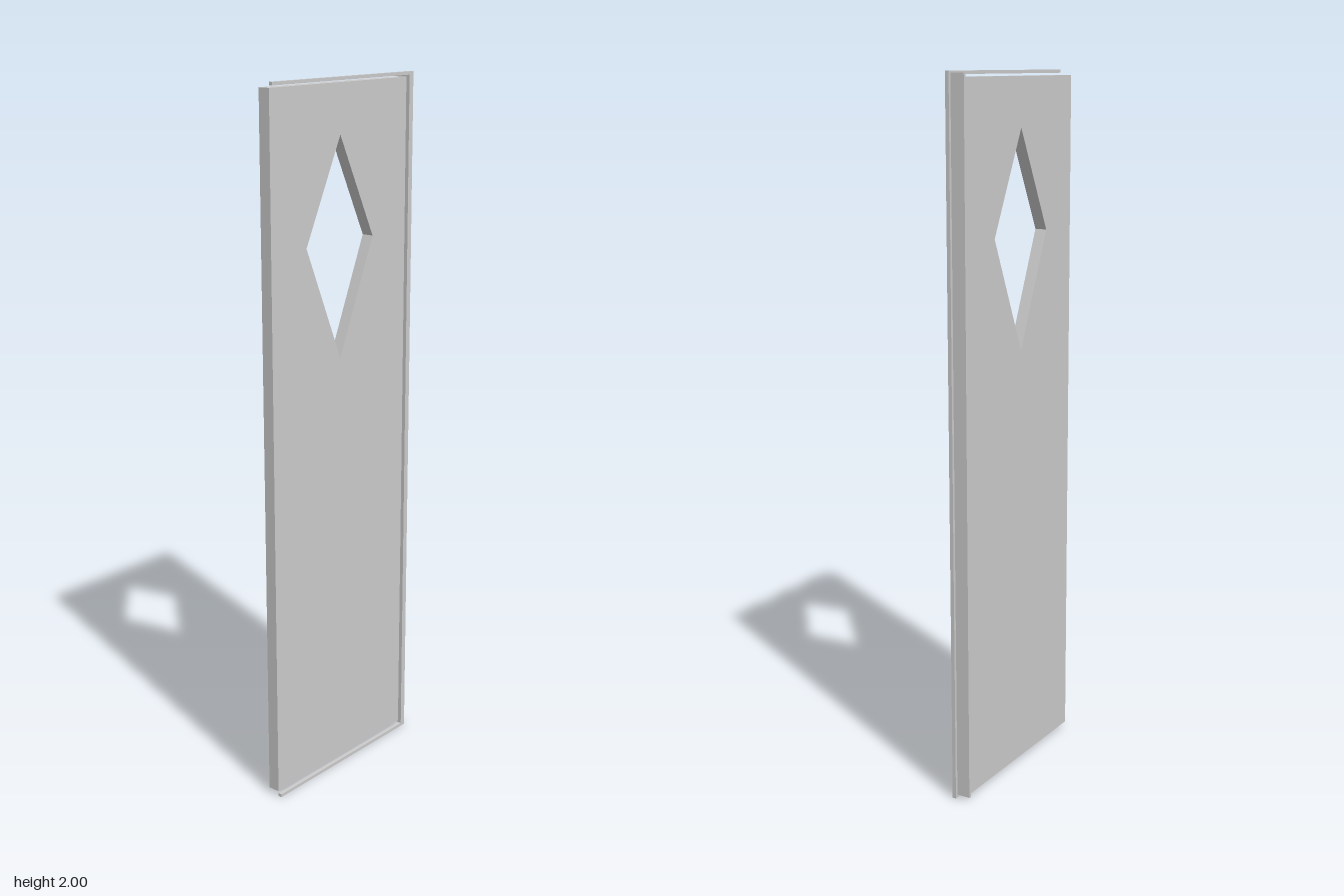
import * as THREE from 'three';

const material = new THREE.MeshStandardMaterial({ color: 0xcccccc, flatShading: true });

// Box given by its minimum and maximum corners
function box(name, [x0, y0, z0], [x1, y1, z1]) {
  const geometry = new THREE.BoxGeometry(x1 - x0, y1 - y0, z1 - z0);
  geometry.translate((x0 + x1) / 2, (y0 + y1) / 2, (z0 + z1) / 2);
  const mesh = new THREE.Mesh(geometry, material);
  mesh.name = name;
  return mesh;
}

const polygon = (points) => points.map(([x, y]) => new THREE.Vector2(x, y));

export function createModel() {
  const group = new THREE.Group();
  group.name = 'door';

  const left = -0.287, right = 0.287, edge = 0.27;
  const back = -0.022, face = 0.013, front = 0.024;

  // Door leaf with a diamond window opening
  const leaf = new THREE.Shape(polygon([[left, 0.015], [edge, 0.015], [edge, 1.985], [left, 1.985]]));
  leaf.holes.push(new THREE.Path(polygon([[-0.012, 1.85], [-0.15, 1.565], [-0.012, 1.243], [0.126, 1.565]])));
  const geometry = new THREE.ExtrudeGeometry(leaf, { depth: face - back, bevelEnabled: false });
  geometry.translate(0, 0, back);
  const panel = new THREE.Mesh(geometry, material);
  panel.name = 'doorLeaf';
  group.add(panel);

  // Thin front trim: top and bottom rails stand slightly clear of the leaf
  const rail = 0.009;
  group.add(box('topTrim', [left, 2 - rail, face], [edge, 2, front]));
  group.add(box('bottomTrim', [left, 0, face], [edge, rail, front]));
  group.add(box('sideTrim', [edge, 0, face], [right, 2, front]));

  // Edge strip along the leaf's side, reaching just past its back
  group.add(box('edgeStrip', [edge, 0.009, -0.027], [0.279, 1.995, face]));

  return group;
}
